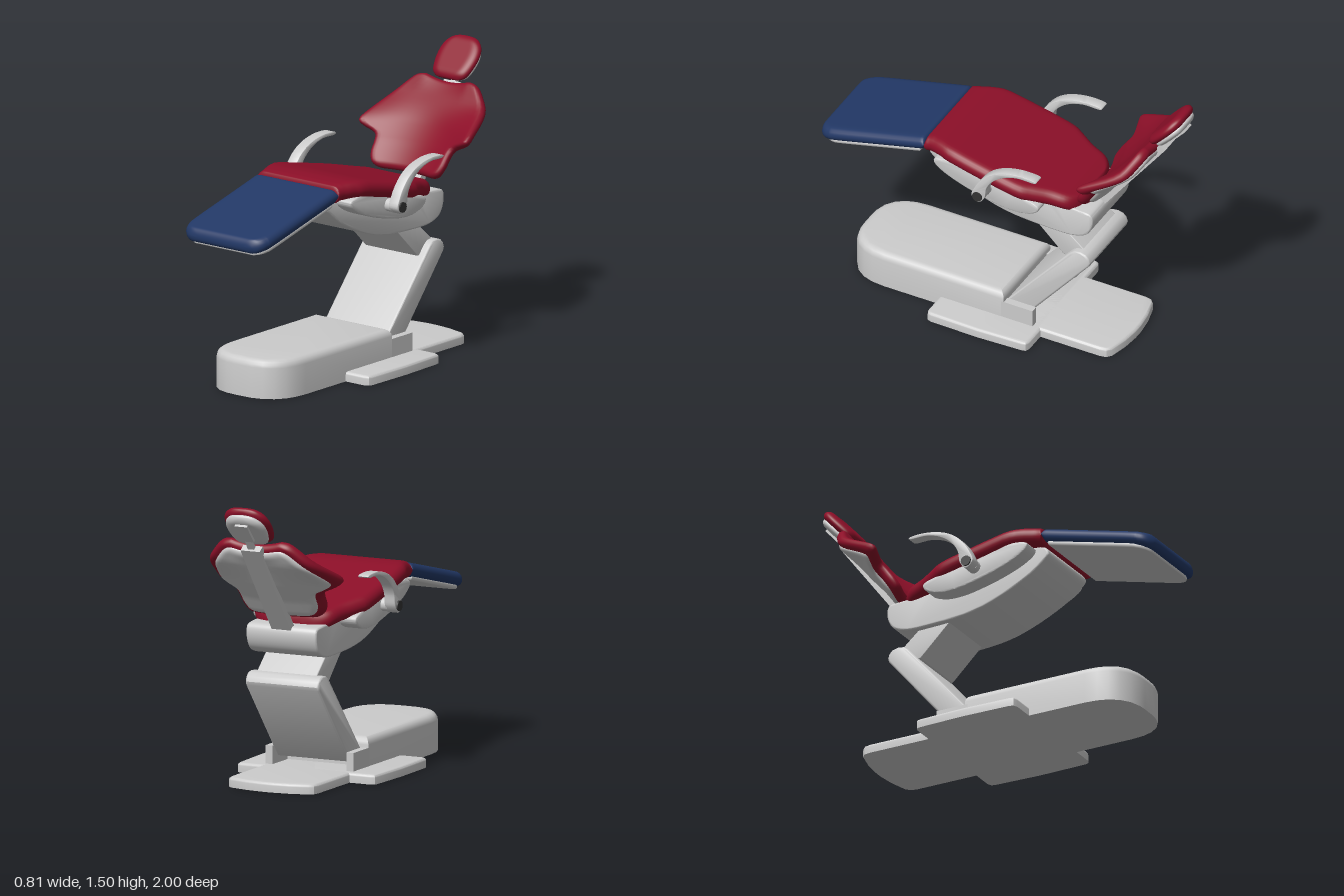
import * as THREE from 'three';
import { mergeVertices, toCreasedNormals } from 'three/addons/utils/BufferGeometryUtils.js';

const material = (color) => new THREE.MeshStandardMaterial({ color });
const grey = material(0xcccccc);
const red = material(0x8c0f28);
const blue = material(0x223866);
const dark = material(0x333333);

const V2 = (x, y) => new THREE.Vector2(x, y);

// Piecewise linear lookup in [[key, value], ...]
function lerpTable(table, s) {
  if (s <= table[0][0]) return table[0][1];
  for (let i = 1; i < table.length; i++) {
    const [a, va] = table[i - 1], [b, vb] = table[i];
    if (s <= b) return va + (vb - va) * (s - a) / (b - a);
  }
  return table[table.length - 1][1];
}

// Bevelled extrusion that keeps the outline's full size
function bevelled(points, length, bevel) {
  return new THREE.ExtrudeGeometry(new THREE.Shape(points), {
    depth: length - 2 * bevel, bevelThickness: bevel, bevelSize: bevel,
    bevelOffset: -bevel, bevelSegments: 4,
  }).translate(0, 0, bevel);
}

// Side outline of [z, y] points extruded across x
function sideBody(outline, x0, x1, bevel, smooth = false) {
  let pts = outline.map(([z, y]) => V2(-z, y));
  if (smooth) {
    const curve = new THREE.CatmullRomCurve3(pts.map((p) => new THREE.Vector3(p.x, p.y, 0)), true);
    pts = curve.getPoints(72).slice(0, -1).map((p) => V2(p.x, p.y));
  }
  const geo = bevelled(pts, x1 - x0, bevel).rotateY(Math.PI / 2).translate(x0, 0, 0);
  return toCreasedNormals(geo, 0.6);
}

// Half plan outline of [x, z] points, mirrored, standing flat on the ground
function floorSlab(half, height, bevel) {
  const pts = half.map(([x, z]) => V2(x, -z));
  pts.push(...half.slice().reverse().map(([x, z]) => V2(-x, -z)));
  const geo = bevelled(pts, height + bevel, bevel).rotateX(-Math.PI / 2).translate(0, -bevel, 0);
  const pos = geo.attributes.position;
  for (let i = 0; i < pos.count; i++) pos.setY(i, Math.max(0, pos.getY(i)));
  return toCreasedNormals(geo, 0.6);
}

// Rounded pad: keys are [s, halfWidth]; place(x, s, d) puts it in space, d being the thickness
function pad(keys, half, edge, endEdge, place) {
  const nu = 28, nv = 56;
  const curve = new THREE.SplineCurve(keys.map(([s, w]) => V2(s, w)));
  const s0 = keys[0][0], s1 = keys[keys.length - 1][0];
  const round = (dist, r) => (dist >= r ? 1 : Math.sqrt(Math.max(0, 1 - (1 - Math.max(0, dist) / r) ** 2)));
  const positions = [], index = [];
  for (const side of [1, -1]) {
    const base = positions.length / 3;
    for (let j = 0; j <= nv; j++) {
      const p = curve.getPoint(0.5 + 0.5 * Math.sin((j / nv - 0.5) * Math.PI));
      const ts = round(Math.min(p.x - s0, s1 - p.x), endEdge);
      for (let i = 0; i <= nu; i++) {
        const x = p.y * Math.sin((i / nu - 0.5) * Math.PI);
        const tx = round(p.y - Math.abs(x), Math.min(edge, p.y * 0.9));
        positions.push(...place(x, p.x, side * half * tx * ts));
        if (i < nu && j < nv) {
          const a = base + j * (nu + 1) + i, b = a + 1, c = a + nu + 1, d = c + 1;
          if (side > 0) index.push(a, b, d, a, d, c);
          else index.push(a, d, b, a, c, d);
        }
      }
    }
  }
  let geo = new THREE.BufferGeometry();
  geo.setAttribute('position', new THREE.Float32BufferAttribute(positions, 3));
  geo.setIndex(index);
  geo = mergeVertices(geo, 1e-4);
  geo.computeVertexNormals();
  return geo;
}

// Box running between two [z, y] points
function bar(from, to, width, thick) {
  const dz = to[0] - from[0], dy = to[1] - from[1];
  return new THREE.BoxGeometry(width, Math.hypot(dz, dy), thick)
    .rotateX(Math.atan2(dz, dy))
    .translate(0, (from[1] + to[1]) / 2, (from[0] + to[0]) / 2);
}

export function createModel() {
  const model = new THREE.Group();
  model.name = 'reclinerChair';
  const add = (name, geo, mat = grey, parent = model) => {
    const mesh = new THREE.Mesh(geo, mat);
    mesh.name = name;
    parent.add(mesh);
    return mesh;
  };

  // Base and floor plates
  add('baseHousing', floorSlab([[0.25, -0.07], [0.25, 0.62], [0.243, 0.69], [0.225, 0.745], [0.19, 0.795],
    [0.14, 0.83], [0.08, 0.847], [0.03, 0.85]], 0.2, 0.04));
  add('sidePlate', floorSlab([[0.37, -0.28], [0.39, -0.27], [0.395, -0.25], [0.405, 0], [0.4, 0.27],
    [0.393, 0.29], [0.37, 0.3]], 0.05, 0.015));
  add('rearPlate', floorSlab([[0.25, 0], [0.25, -0.62], [0.243, -0.655], [0.22, -0.675], [0.12, -0.7],
    [0.03, -0.71]], 0.05, 0.015));
  for (const s of [1, -1]) {
    add('baseCheek', new THREE.BoxGeometry(0.04, 0.145, 0.18).translate(s * 0.23, 0.0725, -0.145));
  }

  // Folding lift arms
  add('lowerArm', sideBody([[-0.03, 0.09], [-0.19, 0.09], [-0.535, 0.505], [-0.541, 0.525], [-0.533, 0.55],
    [-0.515, 0.568], [-0.485, 0.576], [-0.45, 0.572], [-0.425, 0.555]], -0.21, 0.21, 0.012));
  add('upperArm', sideBody([[-0.18, 0.69], [-0.37, 0.505], [-0.48, 0.49], [-0.525, 0.54], [-0.34, 0.7]],
    -0.17, 0.17, 0.005));

  // Seat carrier with wider side pods
  add('seatCarrier', sideBody([[0.385, 0.91], [0.36, 0.95], [0.2, 0.96], [-0.1, 0.89], [-0.3, 0.84],
    [-0.48, 0.832], [-0.54, 0.82], [-0.55, 0.77], [-0.52, 0.7], [-0.45, 0.667], [-0.3, 0.662],
    [-0.02, 0.69], [0.25, 0.8], [0.35, 0.87]], -0.2, 0.2, 0.01, true));
  add('sidePods', sideBody([[0.31, 0.945], [0.2, 0.965], [-0.1, 0.9], [-0.29, 0.848], [-0.28, 0.815],
    [-0.2, 0.782], [-0.1, 0.78], [0, 0.797], [0.15, 0.838], [0.26, 0.885], [0.305, 0.92]],
  -0.295, 0.295, 0.01, true));

  // Seat cushion, arched at the knee
  const seatTop = [[-0.39, 1.03], [-0.34, 1.042], [-0.28, 1.046], [-0.2, 1.04], [0.1, 0.972], [0.4, 0.905], [0.47, 0.88]];
  add('seatCushion', pad([[-0.38, 0.27], [-0.34, 0.272], [-0.28, 0.292], [-0.2, 0.315], [0, 0.32], [0.17, 0.316],
    [0.24, 0.29], [0.32, 0.25], [0.4, 0.225], [0.44, 0.19], [0.462, 0.14], [0.47, 0.08]], 0.045, 0.045, 0.012,
  (x, s, d) => [x, lerpTable(seatTop, s) - 0.045 + d, -s]), red);

  // Leg rest and its support plate
  const legKeys = [[-1, 0.17], [-0.995, 0.205], [-0.975, 0.24], [-0.94, 0.262], [-0.88, 0.27], [-0.6, 0.27],
    [-0.42, 0.27], [-0.38, 0.27]];
  const legPlace = (drop) => (x, s, d) => [x, 0.99 + (s + 0.38) * 0.25 - drop + d, -s];
  add('legCushion', pad(legKeys, 0.038, 0.04, 0.025, legPlace(0)), blue);
  add('legPlate', pad(legKeys.map(([s, w]) => [-0.69 + (s + 0.69) * 0.91, w * 0.93]), 0.013, 0.008, 0.008,
    legPlace(0.041)));

  // Backrest: lower wings wrap forward, top edge dips in the middle
  const spine = [[0.885, -0.515], [1, -0.6], [1.09, -0.68], [1.2, -0.765], [1.31, -0.835]];
  const backPlace = (offset) => (x, s, d) => {
    const wrap = 0.13 * (1 - THREE.MathUtils.smoothstep(s, 1.08, 1.23)) * (x / 0.357) ** 2;
    const dip = 0.022 * THREE.MathUtils.smoothstep(s, 1.18, 1.31) * Math.max(0, 1 - (x / 0.14) ** 2);
    const depth = d + offset;
    return [x, s - dip + depth * 0.6, lerpTable(spine, s) + wrap + depth * 0.8];
  };
  const backKeys = [[0.885, 0.14], [0.89, 0.185], [0.91, 0.22], [0.95, 0.24], [1, 0.245], [1.035, 0.262],
    [1.065, 0.325], [1.09, 0.357], [1.13, 0.343], [1.19, 0.305], [1.25, 0.25], [1.29, 0.205], [1.305, 0.17], [1.31, 0.13]];
  add('backCushion', pad(backKeys, 0.028, 0.03, 0.025, backPlace(0)), red);
  add('backShell', pad(backKeys.map(([s, w]) => [1.1 + (s - 1.1) * 0.9, w * 0.88]), 0.018, 0.03, 0.03,
    backPlace(-0.026)));
  add('backPost', bar([-0.515, 0.8], [-0.875, 1.28], 0.11, 0.04));
  add('neckBar', bar([-0.85, 1.25], [-0.95, 1.385], 0.036, 0.02));

  // Headrest
  const headPlace = (offset) => (x, s, d) => [x, 1.405 + s * 0.745 + (d + offset) * 0.667,
    -0.9 - s * 0.667 + (d + offset) * 0.745];
  const headKeys = [[-0.125, 0.04], [-0.12, 0.075], [-0.095, 0.106], [-0.04, 0.123], [0.02, 0.127], [0.07, 0.115],
    [0.105, 0.086], [0.121, 0.055], [0.126, 0.02]];
  add('headCushion', pad(headKeys, 0.028, 0.05, 0.045, headPlace(0)), red);
  add('headShell', pad(headKeys.map(([s, w]) => [s * 0.87, w * 0.87]), 0.025, 0.05, 0.045, headPlace(-0.03)));
  add('headBracket', bar([-0.905, 1.33], [-0.985, 1.42], 0.07, 0.03));

  // Armrests on side pivots
  const armOutline = [[0.046, 0.872], [0.028, 0.925], [0, 0.972], [-0.05, 1.025], [-0.12, 1.064], [-0.22, 1.086],
    [-0.315, 1.082], [-0.325, 1.075], [-0.315, 1.068], [-0.22, 1.067], [-0.14, 1.043], [-0.075, 0.995],
    [-0.04, 0.94], [-0.028, 0.875], [0.008, 0.838]];
  const disc = (r, x0, x1) => new THREE.CylinderGeometry(r, r, x1 - x0, 28)
    .rotateZ(Math.PI / 2).translate((x0 + x1) / 2, 0.875, 0.01);
  for (const s of [1, -1]) {
    const arm = new THREE.Group();
    arm.name = s > 0 ? 'leftArmrest' : 'rightArmrest';
    const [x0, x1] = s > 0 ? [0.322, 0.382] : [-0.382, -0.322];
    add('armBand', sideBody(armOutline, x0, x1, 0.004, true), grey, arm);
    add('armPivot', disc(0.034, s > 0 ? 0.27 : -0.33, s > 0 ? 0.33 : -0.27), grey, arm);
    add('pivotCap', disc(0.027, s > 0 ? 0.37 : -0.39, s > 0 ? 0.39 : -0.37), dark, arm);
    model.add(arm);
  }

  return model;
}
